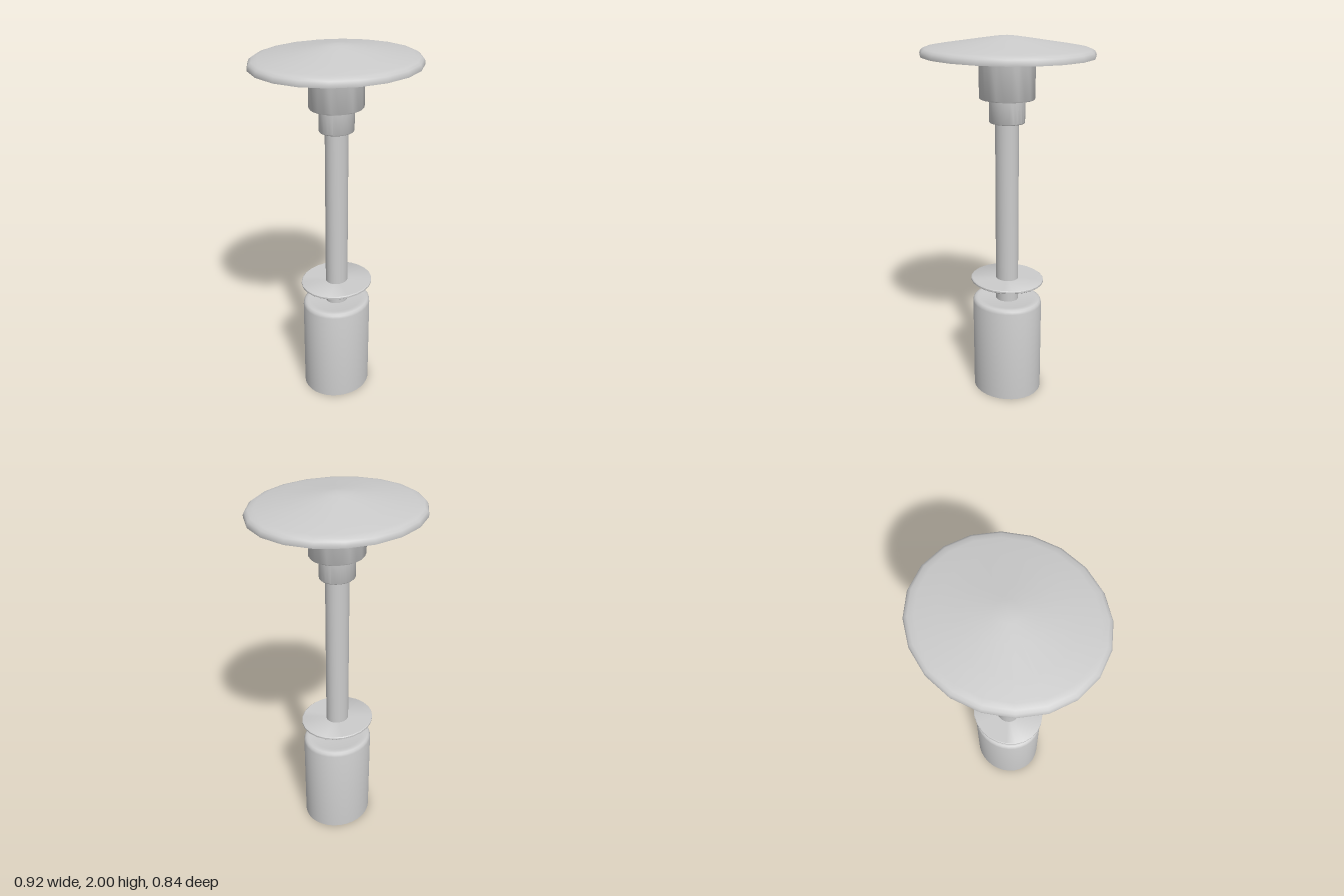
import * as THREE from 'three';
import { toCreasedNormals } from 'three/addons/utils/BufferGeometryUtils.js';

const DEPTH = 0.912; // every part is slightly oval, narrower in z

export function createModel() {
  const group = new THREE.Group();
  const material = new THREE.MeshStandardMaterial({ color: 0xcccccc });

  // Turns a closed [radius, height] profile, listed from bottom to top on the outside
  function turned(name, profile, sides) {
    const points = profile.map(([r, y]) => new THREE.Vector2(r, y));
    const geometry = new THREE.LatheGeometry(points, sides);
    geometry.scale(1, 1, DEPTH);
    const mesh = new THREE.Mesh(toCreasedNormals(geometry, 0.7), material);
    mesh.name = name;
    group.add(mesh);
  }

  // Heavy base with a rounded shoulder
  turned('base', [
    [0, 0], [0.2, 0], [0.2, 0.535], [0.196, 0.549], [0.187, 0.557], [0.172, 0.56], [0.15, 0.555], [0, 0.555],
  ], 32);

  // Pole
  turned('pole', [[0, 0.54], [0.065, 0.54], [0.065, 1.6], [0, 1.6]], 24);

  // Thin round shelf on the pole
  turned('shelf', [
    [0, 0.664], [0.204, 0.664], [0.209, 0.668], [0.209, 0.677], [0.204, 0.681], [0, 0.681],
  ], 24);

  // Collar and burner housing under the canopy
  turned('collar', [[0, 1.558], [0.094, 1.558], [0.098, 1.563], [0.098, 1.7], [0, 1.7]], 24);
  turned('burnerHousing', [[0, 1.682], [0.147, 1.682], [0.151, 1.688], [0.151, 1.968], [0, 1.968]], 24);

  // Hollow shallow canopy: underside out to the lip, then over the top
  turned('canopy', [
    [0, 1.985], [0.15, 1.963], [0.31, 1.94], [0.41, 1.925], [0.44, 1.915], [0.452, 1.898],
    [0.461, 1.898], [0.462, 1.911], [0.455, 1.926], [0.44, 1.936], [0.41, 1.942],
    [0.31, 1.957], [0.15, 1.981], [0.06, 1.994], [0, 2],
  ], 20);

  return group;
}
